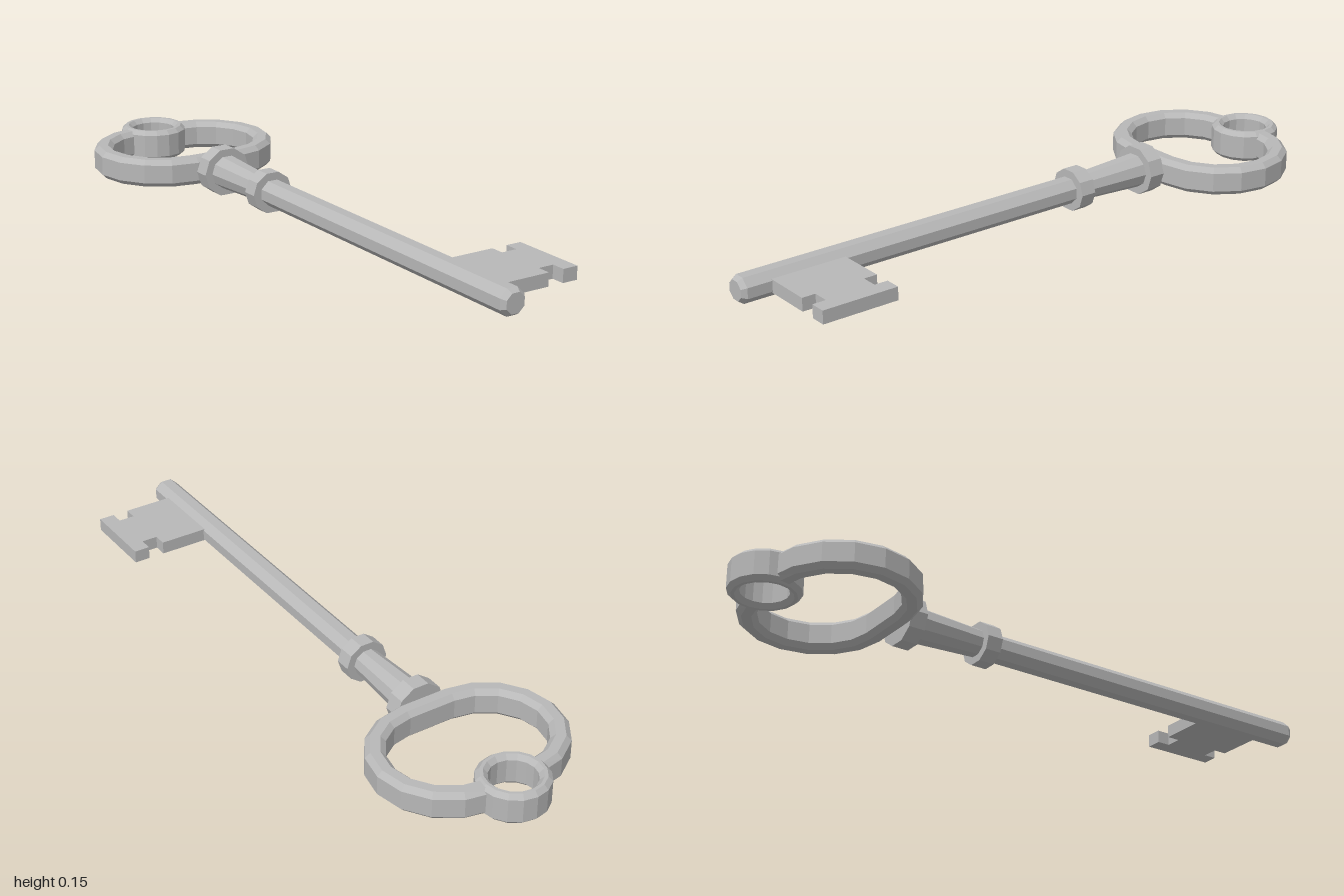
import * as THREE from 'three';

const MID = 0.0735; // height of the key's axis

export function createModel() {
  const key = new THREE.Group();
  key.name = 'key';
  const metal = new THREE.MeshStandardMaterial({ color: 0xb8b8b8, flatShading: true });
  metal.name = 'grey metal';

  const add = (name, geometry) => {
    const mesh = new THREE.Mesh(geometry, metal);
    mesh.name = name;
    key.add(mesh);
  };

  // Faceted rod along z between two depths, with a flat side on top
  const rod = (name, zBack, zFront, rBack, rFront, sides) => {
    const g = new THREE.CylinderGeometry(rFront, rBack, zFront - zBack, sides);
    g.rotateY(Math.PI / sides).rotateX(Math.PI / 2).scale(1, 0.966, 1);
    g.translate(0, MID, (zBack + zFront) / 2);
    add(name, g);
  };

  // Flat plate lying in the xz plane (shape y is -z), with chamfered rims
  const plate = (name, shape, height, bevel, segments) => {
    const g = new THREE.ExtrudeGeometry(shape, {
      depth: height - 2 * bevel, curveSegments: segments,
      bevelEnabled: bevel > 0, bevelThickness: bevel, bevelSize: bevel,
      bevelOffset: -bevel, bevelSegments: 1,
    });
    g.rotateX(-Math.PI / 2).translate(0, MID - height / 2 + bevel, 0);
    add(name, g);
  };

  // Shaft, tip and neck with its two collars
  rod('shaft', -0.2, 0.985, 0.043, 0.043, 8);
  rod('tip', 0.985, 1, 0.043, 0.032, 8);
  rod('neck', -0.44, -0.19, 0.056, 0.043, 10);
  rod('frontCollar', -0.205, -0.155, 0.068, 0.068, 10);
  rod('backCollar', -0.472, -0.42, 0.08, 0.08, 10);

  // Bow: an open oval band whose ends run into the small ring
  const cx = 0.075, cy = 0.694, outer = 0.223, inner = 0.164, up = Math.PI / 2;
  const band = new THREE.Shape();
  band.absarc(-cx, cy, outer, up, 3 * up, false);
  band.absarc(cx, cy, outer, -up, up, false);
  band.absarc(cx, cy, inner, up, -up, true);
  band.absarc(-cx, cy, inner, 3 * up, up, true);
  band.closePath();
  plate('bow', band, 0.088, 0.015, 4);

  // Small hanging ring at the end of the bow
  const ring = new THREE.Shape();
  ring.absarc(0, 0.895, 0.105, 0, Math.PI * 2, false);
  const hole = new THREE.Path();
  hole.absarc(0, 0.895, 0.069, 0, Math.PI * 2, true);
  ring.holes.push(hole);
  plate('ring', ring, 0.098, 0.013, 8);

  // Bit with a notch on each side
  const bit = new THREE.Shape([
    [0.02, -0.908], [0.188, -0.908], [0.188, -0.866], [0.238, -0.866],
    [0.238, -0.908], [0.287, -0.908], [0.287, -0.67], [0.238, -0.67],
    [0.238, -0.712], [0.188, -0.712], [0.188, -0.67], [0.02, -0.67],
  ].map(([x, y]) => new THREE.Vector2(x, y)));
  plate('bit', bit, 0.04, 0, 1);

  return key;
}
